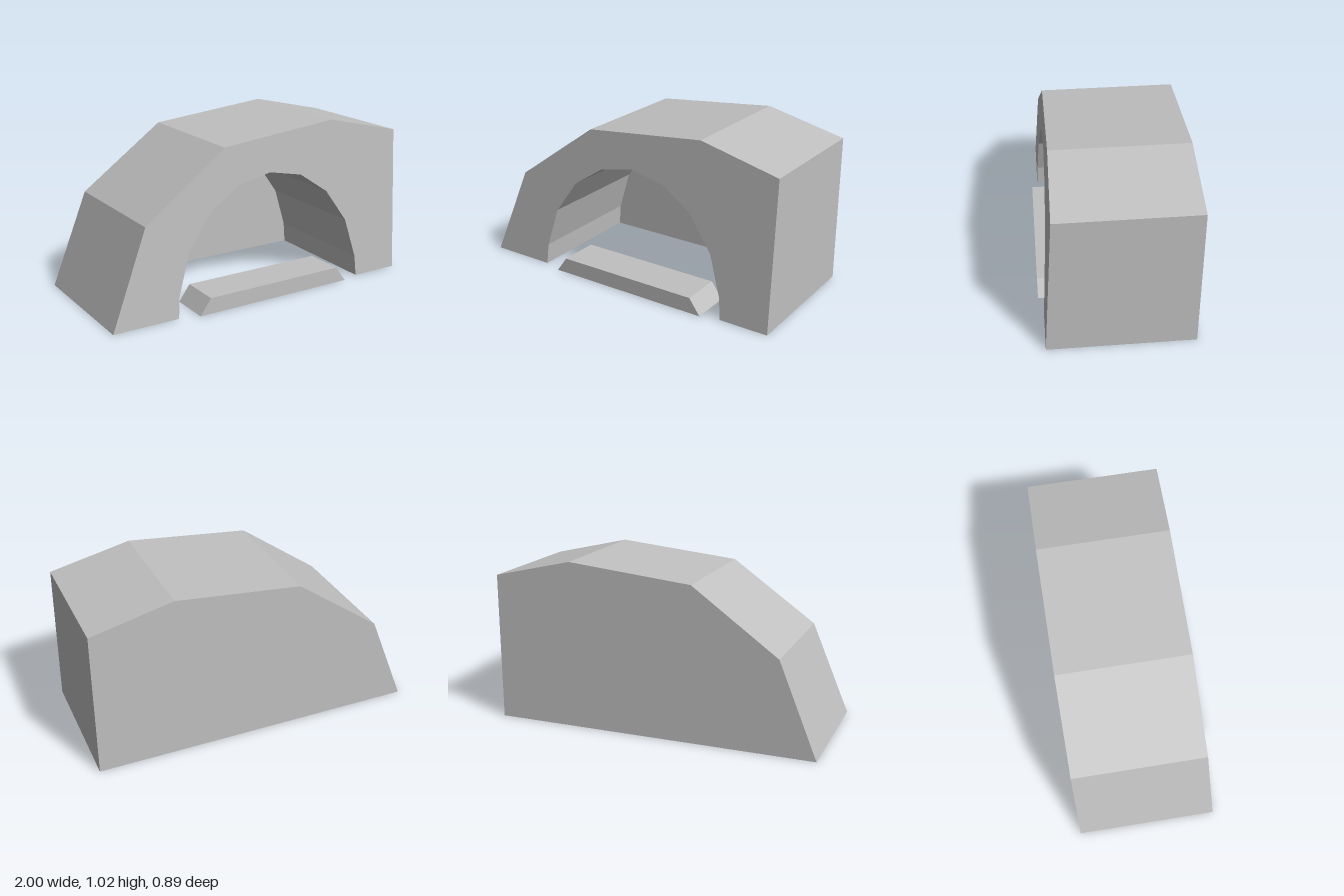
import * as THREE from 'three';

const BACK = -0.445;

// Outer silhouette, from the low left foot over the top to the right foot
const outline = [[-1, 0], [-0.77, 0.57], [-0.25, 0.945], [0.51, 1.02], [1, 0.905], [1, 0]];

// Faceted arch opening, from left foot to right foot
const arch = [
  [-0.59, 0], [-0.58, 0.13], [-0.505, 0.38], [-0.36, 0.585], [-0.165, 0.715], [0.055, 0.76],
  [0.275, 0.715], [0.465, 0.585], [0.61, 0.38], [0.685, 0.13], [0.695, 0],
];

// Solid between two z planes from a list of profile points
function prism(points, zBack, zFront) {
  const shape = new THREE.Shape(points.map(([x, y]) => new THREE.Vector2(x, y)));
  const geometry = new THREE.ExtrudeGeometry(shape, { depth: zFront - zBack, bevelEnabled: false });
  return geometry.translate(0, 0, zBack);
}

// Leans the front face back toward the top
function leanFront(geometry) {
  const p = geometry.attributes.position;
  for (let i = 0; i < p.count; i++) {
    if (p.getZ(i) > 0) p.setZ(i, 0.411 + 0.005 * p.getX(i) - 0.061 * p.getY(i));
  }
  geometry.computeVertexNormals();
  return geometry;
}

export function createModel() {
  const model = new THREE.Group();
  model.name = 'archShelter';
  const stone = new THREE.MeshStandardMaterial({ color: 0xc0c0c0 });
  stone.name = 'lightGrey';

  const add = (name, geometry) => {
    const mesh = new THREE.Mesh(geometry, stone);
    mesh.name = name;
    model.add(mesh);
  };

  // Shell with the arched tunnel cut out of it
  add('archShell', leanFront(prism([...outline, ...[...arch].reverse()], BACK, 0.4)));

  // Thin wall closing the back of the tunnel
  add('backWall', prism(arch, BACK, BACK + 0.075));

  // Low sill with sloped ends lying in the opening
  add('sill', prism([[-0.47, 0], [-0.4, 0.097], [0.51, 0.097], [0.58, 0]], 0.195, 0.445));

  return model;
}
